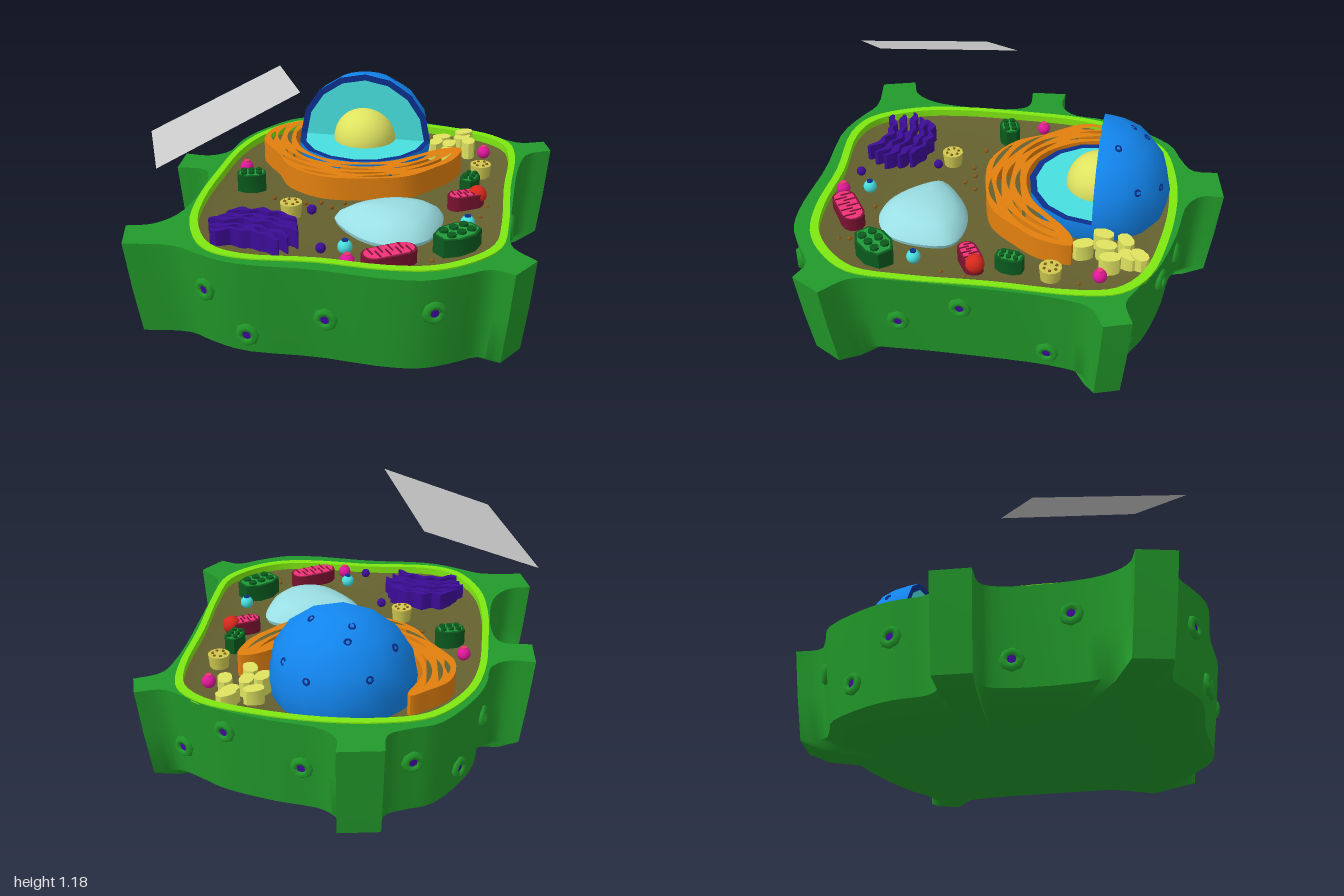
import * as THREE from 'three';
import { toCreasedNormals } from 'three/addons/utils/BufferGeometryUtils.js';

const TOP = 0.53, FLOOR = 0.47;
const mat = (color, side = THREE.FrontSide) => new THREE.MeshStandardMaterial({ color, side });
const GREEN = mat(0x229a2a), LIME = mat(0x7fe812), SOIL = mat(0x64602f), BLUE = mat(0x1285ee),
  NAVY = mat(0x0c2f8c), CYAN = mat(0x48dede), YELLOW = mat(0xdfe360), ORANGE = mat(0xe2800f),
  PURPLE = mat(0x3c0c96), WATER = mat(0x9adfe4), DARKGREEN = mat(0x0b5a1e), LEAF = mat(0x1f9a38),
  MAROON = mat(0x7a1230), PINK = mat(0xf0327a), MAGENTA = mat(0xe0189a), BROWN = mat(0x8a5a1a),
  STARCH = mat(0xcfc850), RED = mat(0xd8281c), GREY = mat(0xcccccc, THREE.DoubleSide);

const pairs = a => Array.from({ length: a.length / 2 }, (_, i) => new THREE.Vector3(a[2 * i], 0, a[2 * i + 1]));
const spline = (a, closed, n) => new THREE.CatmullRomCurve3(pairs(a), closed, 'centripetal').getPoints(n);

// Wall outline: smooth runs between the square ends of the six stubs
const wall = [
  [-0.09, -1, -0.08, -0.9, 0, -0.83, 0.24, -0.79, 0.5, -0.72, 0.65, -0.64, 0.75, -0.6, 0.87, -0.64],
  [0.91, -0.52, 0.8, -0.45, 0.765, -0.3, 0.76, 0.13, 0.77, 0.45, 0.79, 0.61, 0.9, 0.72],
  [0.82, 0.86, 0.72, 0.83, 0.61, 0.9, 0.48, 0.97, 0.32, 0.99, 0, 0.97, -0.34, 0.98, -0.5, 0.93, -0.63, 0.875, -0.85, 0.9],
  [-0.9, 0.73, -0.79, 0.69, -0.71, 0.56, -0.71, 0.15, -0.76, 0.06, -0.9, 0.06],
  [-0.915, -0.12, -0.79, -0.12, -0.71, -0.19, -0.69, -0.35, -0.64, -0.5, -0.5, -0.72, -0.38, -0.78, -0.29, -0.84, -0.29, -0.965],
].flatMap(run => spline(run, false, 26));
const lining = spline([-0.47, -0.68, -0.26, -0.755, 0, -0.78, 0.3, -0.755, 0.56, -0.69, 0.69, -0.58, 0.735, -0.4,
  0.74, 0, 0.76, 0.4, 0.745, 0.64, 0.64, 0.79, 0.5, 0.885, 0.3, 0.92, 0, 0.91, -0.34, 0.935, -0.5, 0.875, -0.63, 0.66,
  -0.68, 0.4, -0.69, 0.08, -0.68, -0.24, -0.62, -0.47], true, 84).slice(0, -1);

// Skin over scaled copies of an outline, each ring given as [scale, y]
function loft(outline, rings, cx = 0, cz = 0) {
  const pos = [], idx = [], n = outline.length;
  for (const [s, y] of rings) for (const p of outline) pos.push(cx + (p.x - cx) * s, y, cz + (p.z - cz) * s);
  for (let r = 0; r < rings.length - 1; r++) for (let i = 0; i < n; i++) {
    const j = (i + 1) % n, a = r * n + i, b = r * n + j;
    idx.push(a, b, a + n, b, b + n, a + n);
  }
  const g = new THREE.BufferGeometry();
  g.setAttribute('position', new THREE.Float32BufferAttribute(pos, 3));
  g.setIndex(idx);
  return toCreasedNormals(g, 0.8);
}
const flat = pts => pts.map(p => new THREE.Vector2(p.x, -p.z));
// Upright slab whose plan is a list of x, z points
function slab(pts, height, holes = []) {
  const s = new THREE.Shape(flat(pts));
  s.holes = holes.map(h => new THREE.Path(flat(h)));
  const g = new THREE.ExtrudeGeometry(s, { depth: height, bevelEnabled: false }).rotateX(-Math.PI / 2);
  return toCreasedNormals(g, 0.6);
}
const capsule = (l, w, n = 6) => [0, 1].flatMap(e => Array.from({ length: n + 1 }, (_, i) => {
  const a = Math.PI * (e + i / n) - Math.PI / 2, c = (e ? -1 : 1) * (l - w) / 2;
  return new THREE.Vector3(c + Math.cos(a) * w / 2, 0, Math.sin(a) * w / 2);
}));
const polar = (deg, r) => {
  const a = deg * Math.PI / 180;
  return new THREE.Vector3(-0.04 + Math.cos(a) * r, 0, -0.4 + Math.sin(a) * r);
};

export function createModel() {
  const root = new THREE.Group();
  const add = (name, geo, material, x = 0, y = 0, z = 0, parent = root) => {
    const m = new THREE.Mesh(geo, material);
    m.name = name;
    m.position.set(x, y, z);
    parent.add(m);
    return m;
  };
  const group = (name, x = 0, y = 0, z = 0, turn = 0) => {
    const g = new THREE.Group();
    g.name = name;
    g.position.set(x, y, z);
    g.rotation.y = turn;
    root.add(g);
    return g;
  };

  // Cell wall, rim, lining and floor
  add('cellWall', loft(wall, [[1, TOP], [0.975, 0.3], [0.945, 0.08], [0.84, 0.035], [0.62, 0.003], [0, 0]]), GREEN);
  const rim = new THREE.Shape(flat(wall));
  rim.holes.push(new THREE.Path(flat(lining)));
  add('wallRim', new THREE.ShapeGeometry(rim).rotateX(-Math.PI / 2), GREEN, 0, TOP, 0);
  add('membrane', loft(lining, [[0.955, FLOOR], [0.955, TOP + 0.006], [1, TOP + 0.006], [1, TOP - 0.01]], 0.03, 0.08), LIME);
  add('cellFloor', loft(lining, [[0, FLOOR], [0.5, FLOOR], [0.8, FLOOR + 0.005], [0.96, FLOOR + 0.03]], 0.03, 0.08), SOIL);

  // Pores seated on the wall, facing outward
  for (const [x, y, z] of [[-0.52, 0.36, 1], [-0.31, 0.175, 1], [0.03, 0.29, 1], [0.54, 0.37, 1],
    [0.8, 0.28, 0.43], [0.8, 0.4, 0.08], [0.8, 0.175, -0.25], [0.7, 0.24, -0.65], [0.48, 0.42, -0.77], [0.13, 0.3, -0.85],
    [-0.43, 0.35, -0.8], [-0.6, 0.2, -0.6], [-0.72, 0.36, -0.35], [-0.72, 0.2, 0.22], [-0.72, 0.38, 0.45]]) {
    let k = 0;
    wall.forEach((p, i) => { if (Math.hypot(p.x - x, p.z - z) < Math.hypot(wall[k].x - x, wall[k].z - z)) k = i; });
    const a = wall[(k + wall.length - 1) % wall.length], b = wall[(k + 1) % wall.length], s = 0.935 + 0.12 * y;
    const pore = group('wallPore', wall[k].x * s, y, wall[k].z * s, Math.atan2(b.z - a.z, a.x - b.x));
    add('poreRing', new THREE.TorusGeometry(0.036, 0.019, 5, 8), GREEN, 0, 0, 0.008, pore);
    add('poreHole', new THREE.CircleGeometry(0.026, 8), PURPLE, 0, 0, 0.012, pore);
  }

  // Nucleus with a quarter cut away
  const nucleus = group('nucleus', -0.04, 0.58, -0.4);
  const R = 0.34, r = 0.308, PI = Math.PI;
  add('nucleusBack', new THREE.SphereGeometry(R, 8, 4, PI, PI, 0, PI / 2), BLUE, 0, 0, 0, nucleus);
  add('nucleusBase', new THREE.SphereGeometry(R, 16, 2, 0, PI * 2, PI / 2, PI / 6), BLUE, 0, 0, 0, nucleus);
  for (const tilt of [0, -PI / 2]) {
    const start = tilt ? PI : 0;
    const edge = add('nucleusShellEdge', new THREE.RingGeometry(r, R, 8, 1, start, PI), NAVY, 0, 0, 0, nucleus);
    const cut = add('nucleusCutFace', new THREE.CircleGeometry(r, 8, start, PI), CYAN, 0, 0, 0, nucleus);
    edge.rotation.x = cut.rotation.x = tilt;
  }
  add('nucleolus', new THREE.SphereGeometry(0.16, 24, 16), YELLOW, 0, 0, 0, nucleus);
  for (const [x, z] of [[-0.155, -0.28], [-0.05, -0.215], [-0.06, -0.145], [0.125, -0.31], [0.13, -0.09], [0.24, -0.2], [-0.25, -0.12]]) {
    const p = new THREE.Vector3(x, Math.sqrt(Math.max(0.01, R * R - x * x - z * z)), z).setLength(R * 0.975);
    const ring = add('nucleusPore', new THREE.TorusGeometry(0.014, 0.006, 5, 8), NAVY, p.x, p.y, p.z, nucleus);
    ring.quaternion.setFromUnitVectors(new THREE.Vector3(0, 0, 1), p.clone().normalize());
  }

  // Folded membranes curling round the nucleus
  const fold = [[8, 0.51], [25, 0.535], [40, 0.535], [58, 0.56], [75, 0.55], [100, 0.565], [122, 0.54], [140, 0.49], [152, 0.5],
    [165, 0.52], [185, 0.49], [200, 0.42], [212, 0.38], [211, 0.36], [180, 0.36], [150, 0.355], [120, 0.36], [90, 0.355],
    [60, 0.355], [35, 0.36], [20, 0.39], [10, 0.45]].flatMap(([a, q]) => { const p = polar(a, q); return [p.x, p.z]; });
  const slits = [[0.39, 150, 196], [0.44, 160, 188], [0.475, 162, 178], [0.395, 104, 142], [0.44, 112, 146], [0.485, 104, 138], [0.53, 92, 118],
    [0.395, 62, 97], [0.44, 72, 104], [0.485, 66, 96], [0.525, 60, 84], [0.4, 28, 54], [0.445, 20, 62], [0.49, 16, 56]].map(([q, a, b]) => {
    const out = [], n = 8;
    for (let i = 0; i <= n; i++) out.push(polar(a + (b - a) * i / n, q + 0.013 * Math.sin(PI * i / n)));
    for (let i = n - 1; i > 0; i--) out.push(polar(a + (b - a) * i / n, q - 0.012 * Math.sin(PI * i / n)));
    return out;
  });
  add('foldedMembrane', slab(spline(fold, true, 88).slice(0, -1), 0.115, slits), ORANGE, 0, FLOOR, 0);

  // Vacuole
  const sac = spline([-0.03, 0.37, 0.15, 0.22, 0.32, 0.19, 0.44, 0.24, 0.455, 0.43, 0.4, 0.56, 0.27, 0.62, 0.14, 0.585, 0, 0.45], true, 40).slice(0, -1);
  add('vacuole', loft(sac, [[0, 0.582], [0.4, 0.575], [0.7, 0.555], [0.92, 0.52], [1, 0.49], [0.97, FLOOR]], 0.24, 0.4), WATER);

  // Stack of wavy purple ribbons
  const stack = group('ribbonStack', -0.33, FLOOR, 0.62, -0.1);
  for (let i = 0; i < 5; i++) {
    const l = 0.42 - 0.05 * Math.abs(i - 2), z0 = (i - 2) * 0.052, edge = [];
    for (const side of [1, -1]) for (let k = 0; k <= 20; k++) {
      const t = side * (k / 10 - 1);
      edge.push(new THREE.Vector3(t * l / 2, 0, z0 + 0.05 * t * t + 0.01 * Math.sin(t * 11 + i) - side * (0.013 + 0.006 * Math.cos(t * 9))));
    }
    add('ribbon', slab(edge, 0.09 - 0.006 * (i % 2)), PURPLE, 0, 0, 0, stack);
  }
  for (const [x, z] of [[-0.13, 0.42], [-0.005, 0.785]]) add('purpleVesicle', new THREE.SphereGeometry(0.023, 12, 8), PURPLE, x, 0.535, z);

  // Mitochondria: dark shell, pink inside, zigzag ridges
  for (const [x, z, l, w, turn, cap] of [[0.285, 0.765, 0.25, 0.115, 0.6, 0], [0.54, 0.12, 0.18, 0.09, 0.55, 1]]) {
    const m = group('mitochondrion', x, FLOOR, z, turn);
    add('shell', slab(capsule(l, w), 0.07), MAROON, 0, 0, 0, m);
    add('inside', slab(capsule(l - 0.02, w - 0.02), 0.074), PINK, 0, 0, 0, m);
    for (let i = 0; i < 8; i++)
      add('ridge', new THREE.BoxGeometry(0.006, 0.006, w * 0.5), MAROON, (i - 3.5) * l * 0.095, 0.075, (i % 2 - 0.5) * w * 0.3, m);
    if (cap) add('wholeEnd', new THREE.SphereGeometry(w / 2, 12, 8), RED, l * 0.33, 0.055, 0, m);
  }

  // Chloroplasts with stacked discs
  for (const [x, z, l, w, turn, h] of [[0.55, 0.565, 0.23, 0.15, 0.8, 0.09], [0.54, -0.06, 0.14, 0.085, 1.4, 0.08], [-0.5, 0.12, 0.15, 0.1, 0.3, 0.09]]) {
    const c = group('chloroplast', x, FLOOR, z, turn);
    add('shell', slab(capsule(l, w, 3), h), DARKGREEN, 0, 0, 0, c);
    add('inside', slab(capsule(l - 0.025, w - 0.025, 3), h + 0.003), LEAF, 0, 0, 0, c);
    for (let i = 0; i < 6; i++)
      add('discStack', new THREE.CylinderGeometry(w * 0.14, w * 0.14, 0.025, 8), DARKGREEN, (i % 3 - 1) * l * 0.24, h + 0.002, (i < 3 ? -1 : 1) * w * 0.18, c);
  }

  // Yellow speckled bodies
  for (const [x, z] of [[0.575, -0.25], [-0.24, 0.37]]) {
    const b = group('speckledBody', x, FLOOR, z);
    add('dish', new THREE.CylinderGeometry(0.052, 0.045, 0.07, 12), STARCH, 0, 0.035, 0, b);
    for (let i = 0; i < 6; i++) add('speck', new THREE.SphereGeometry(0.008, 6, 4), BROWN, 0.03 * Math.cos(i * 1.05), 0.07, 0.03 * Math.sin(i * 1.05), b);
  }
  // Starch columns
  [[0.34, -0.565], [0.45, -0.635], [0.445, -0.585], [0.32, -0.46], [0.39, -0.48], [0.485, -0.505], [0.395, -0.375]].forEach(([x, z], i) => {
    const s = group('starchColumn', x, FLOOR, z, 0.5 + i * 0.25);
    add('column', slab(capsule(0.1, 0.065, 4), 0.08 + 0.01 * (i % 2)), YELLOW, 0, 0, 0, s);
  });

  // Ringed vesicles
  for (const [x, z, outer, inner] of [[-0.575, -0.05, MAGENTA, PINK], [0.57, -0.47, MAGENTA, PINK], [0.12, 0.84, MAGENTA, PINK],
    [0.575, 0.375, CYAN, NAVY], [0.085, 0.715, CYAN, NAVY]]) {
    const v = group('vesicle', x, 0.515, z);
    add('coat', new THREE.SphereGeometry(0.033, 14, 10), outer, 0, 0, 0, v);
    add('core', new THREE.CylinderGeometry(0.015, 0.015, 0.01, 10), inner, 0, 0.03, 0, v);
  }
  // Loose grains on the floor
  for (const [x, z] of [[-0.56, -0.37], [-0.2, 0.25], [-0.13, 0.23], [-0.07, 0.27], [-0.02, 0.21], [0.2, 0.66], [-0.2, 0.79], [-0.1, 0.84],
    [0.46, 0.71], [0.47, 0.76], [0.64, 0.13], [0.62, 0.24], [0.6, -0.38], [-0.36, 0.22]])
    add('grain', new THREE.SphereGeometry(0.011, 6, 5), BROWN, x, FLOOR + 0.012, z);

  // Tilted loose panel
  const panel = new THREE.BufferGeometry();
  panel.setAttribute('position', new THREE.Float32BufferAttribute([-0.915, 0.82, 0.32, -0.65, 0.91, 0.94, -0.11, 1.18, 0.665, -0.36, 1.09, 0.055], 3));
  panel.setIndex([0, 1, 2, 0, 2, 3]);
  panel.computeVertexNormals();
  add('panel', panel, GREY);
  return root;
}
